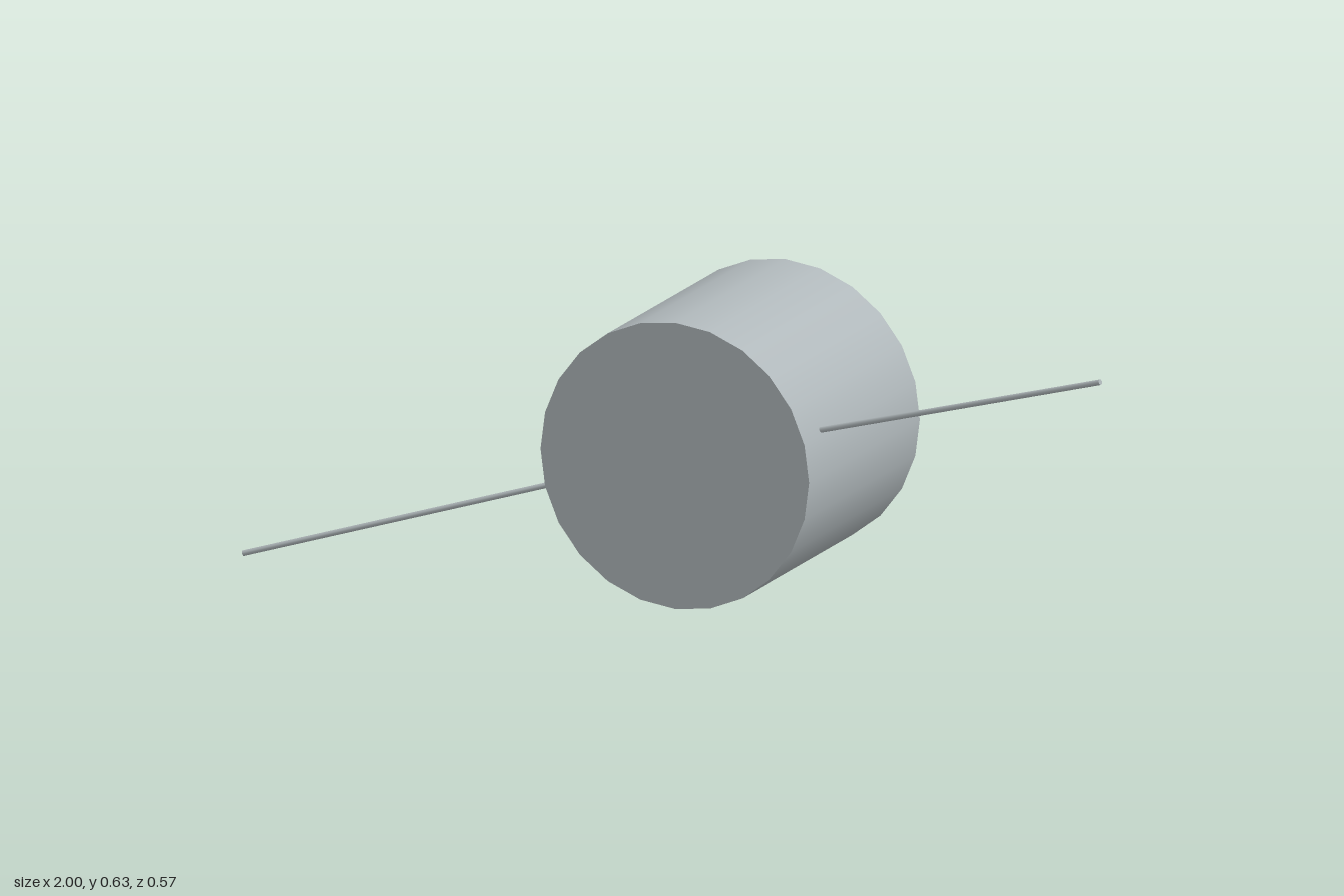
import * as THREE from 'three';

export function createModel() {
  const model = new THREE.Group();
  const metal = new THREE.MeshStandardMaterial({ color: 0xb0b8bb });
  metal.name = 'pale grey metal';

  // Drum lying along z
  const drum = new THREE.Mesh(new THREE.CylinderGeometry(0.313, 0.313, 0.544, 24), metal);
  drum.name = 'drum';
  drum.rotation.x = Math.PI / 2;
  drum.position.set(0, 0.316, -0.011);
  model.add(drum);

  // Thin straight rod between two points
  function addRod(name, from, to) {
    const dir = to.clone().sub(from);
    const rod = new THREE.Mesh(new THREE.CylinderGeometry(0.006, 0.006, dir.length(), 10), metal);
    rod.name = name;
    rod.position.copy(from).addScaledVector(dir, 0.5);
    rod.quaternion.setFromUnitVectors(new THREE.Vector3(0, 1, 0), dir.normalize());
    model.add(rod);
  }

  // One rod slopes up to the left, the other down to the right, both leaning forward
  for (const s of [1, -1]) {
    addRod(s > 0 ? 'leftRod' : 'rightRod',
      new THREE.Vector3(s * 0.285, 0.316 + s * 0.088, 0.17),
      new THREE.Vector3(s * 0.998, 0.316 + s * 0.308, 0.277));
  }
  return model;
}
